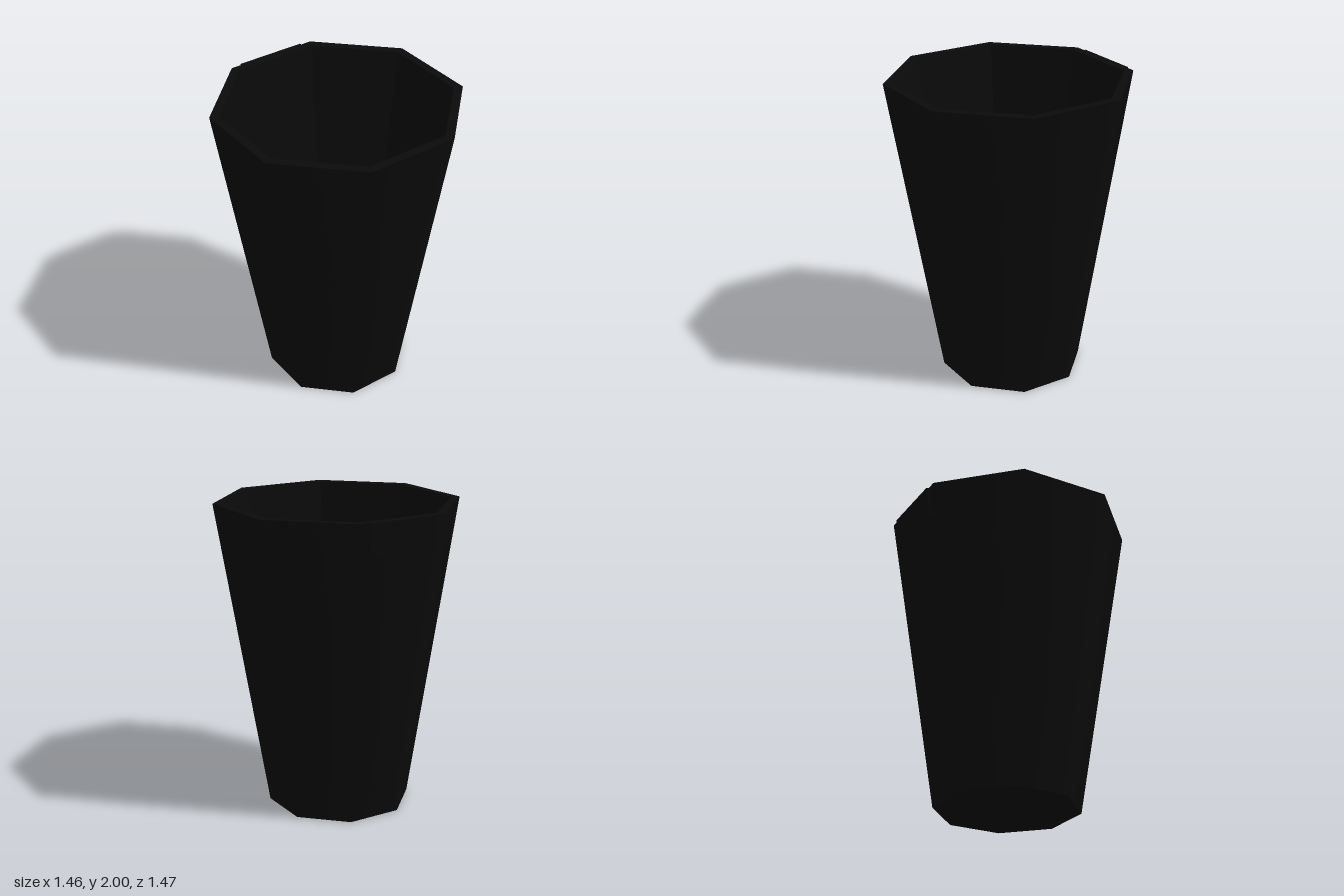
import * as THREE from 'three';

const TOP = 2, FLOOR = 0.08;
const SIDES = 8, TURN = Math.PI / SIDES;            // flats face the four axes
const radius = (halfWidth) => halfWidth / Math.cos(TURN);
const centreZ = (y) => -0.0065 + 0.0065 * y;        // the cup leans very slightly forward

export function createModel() {
  const group = new THREE.Group();
  const black = new THREE.MeshStandardMaterial({ color: 0x0a0a0a });
  black.name = 'black';

  const add = (name, geometry) => {
    const mesh = new THREE.Mesh(geometry, black);
    mesh.name = name;
    group.add(mesh);
    return mesh;
  };

  // Open eight-sided tapered wall between two heights, following the lean
  const wall = (topHalf, bottomHalf, y0, y1) => {
    const g = new THREE.CylinderGeometry(radius(topHalf), radius(bottomHalf), y1 - y0, SIDES, 1, true, TURN);
    g.translate(0, (y0 + y1) / 2, 0);
    const p = g.attributes.position;
    for (let i = 0; i < p.count; i++) p.setZ(i, p.getZ(i) + centreZ(p.getY(i)));
    return g;
  };

  // Flat octagon, facing up or down
  const disc = (half, y, up) => {
    const g = new THREE.CircleGeometry(radius(half), SIDES, TURN);
    g.rotateX(up ? -Math.PI / 2 : Math.PI / 2);
    return g.translate(0, y, centreZ(y));
  };

  add('outerWall', wall(0.73, 0.43, 0, TOP));
  add('base', disc(0.43, 0, false));
  add('innerFloor', disc(0.4, FLOOR, true));

  // Mirroring turns the inner wall's faces inward; its facets stay flat
  const inner = wall(0.675, 0.4, FLOOR, TOP).scale(-1, 1, 1).toNonIndexed();
  inner.computeVertexNormals();
  add('innerWall', inner);

  const rim = new THREE.RingGeometry(radius(0.675), radius(0.73), SIDES, 1, TURN);
  rim.rotateX(-Math.PI / 2).translate(0, TOP, centreZ(TOP));
  add('rim', rim);

  // Thin tab lying along the sloping back face below the rim
  const tab = new THREE.BoxGeometry(0.46, 0.2, 0.03).translate(0, TOP - 0.1, 0);
  const p = tab.attributes.position;
  for (let i = 0; i < p.count; i++) {
    const outer = p.getY(i) > 1.9 ? -0.737 : -0.708;
    p.setZ(i, p.getZ(i) > 0 ? outer + 0.03 : outer);
  }
  tab.computeVertexNormals();
  add('backTab', tab);

  return group;
}
